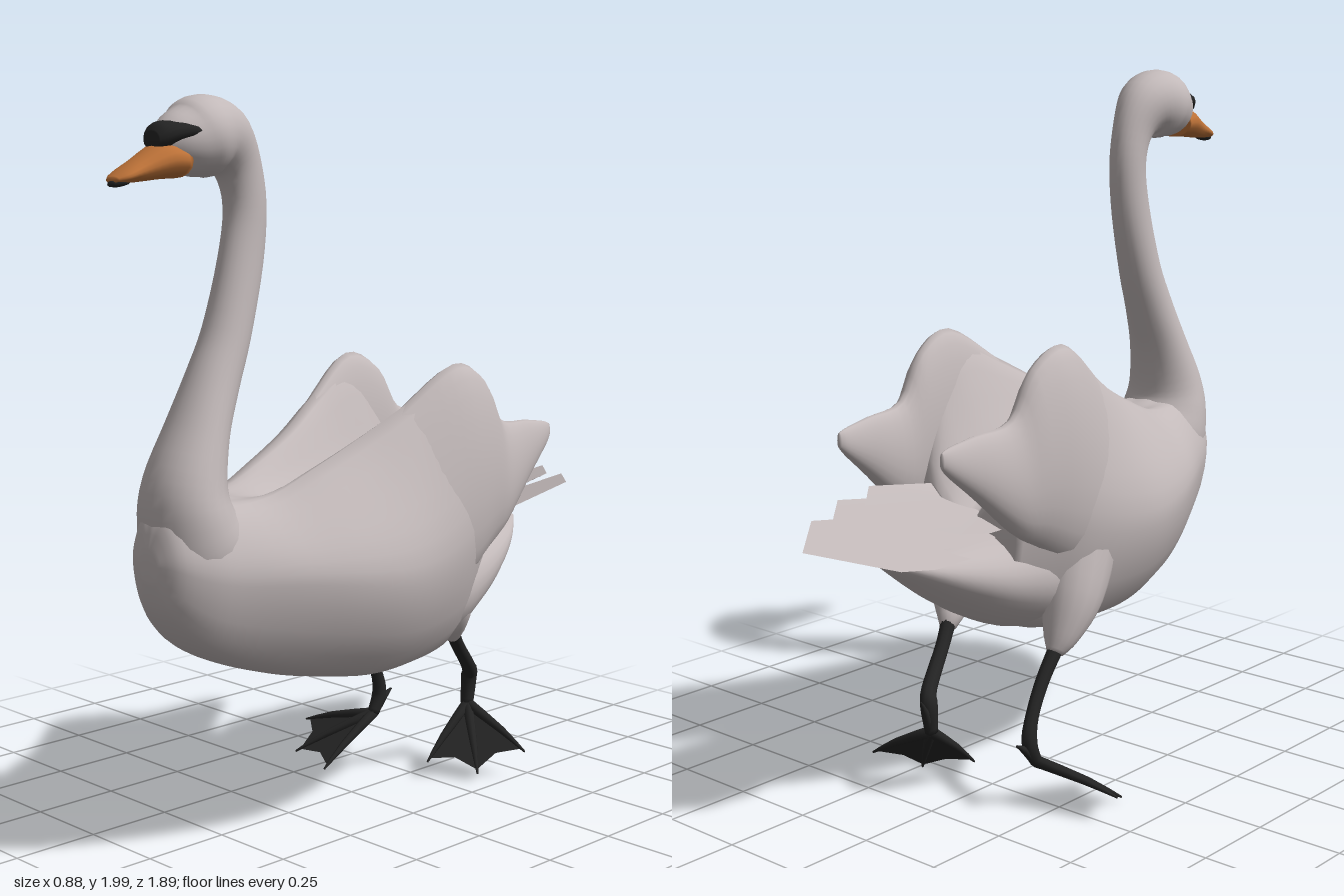
import * as THREE from 'three';

const white = new THREE.MeshStandardMaterial({ color: 0xc2b9b9, side: THREE.DoubleSide });
const black = new THREE.MeshStandardMaterial({ color: 0x242424, side: THREE.DoubleSide });
const orange = new THREE.MeshStandardMaterial({ color: 0xbd7238 });
white.name = 'featherWhite';
black.name = 'skinBlack';
orange.name = 'beakOrange';

// Catmull-Rom interpolation through rows of numbers
function smooth(rows, steps) {
  const out = [];
  for (let i = 0; i < rows.length - 1; i++) {
    const p = rows[Math.max(i - 1, 0)], a = rows[i], b = rows[i + 1], n = rows[Math.min(i + 2, rows.length - 1)];
    for (let k = 0; k < steps; k++) {
      const t = k / steps;
      out.push(a.map((v, j) => {
        const c1 = b[j] - p[j];
        const c2 = 2 * p[j] - 5 * v + 4 * b[j] - n[j];
        const c3 = 3 * (v - b[j]) + n[j] - p[j];
        return v + 0.5 * t * (c1 + t * (c2 + t * c3));
      }));
    }
  }
  out.push(rows[rows.length - 1]);
  return out;
}

// Skin closed rings of points, cap both ends and face the surface outward
function loft(rings) {
  const n = rings[0].length, pos = [], idx = [];
  rings.forEach((r) => r.forEach((v) => pos.push(v.x, v.y, v.z)));
  for (let i = 0; i < rings.length - 1; i++) {
    for (let j = 0; j < n; j++) {
      const k = (j + 1) % n, a = i * n + j, b = i * n + k, c = a + n, d = b + n;
      idx.push(a, b, d, a, d, c);
    }
  }
  [0, rings.length - 1].forEach((r) => {
    const mid = new THREE.Vector3();
    rings[r].forEach((v) => mid.addScaledVector(v, 1 / n));
    const m = pos.length / 3;
    pos.push(mid.x, mid.y, mid.z);
    for (let j = 0; j < n; j++) {
      const a = r * n + j, b = r * n + (j + 1) % n;
      idx.push(...(r ? [m, a, b] : [m, b, a]));
    }
  });
  const P = (i) => new THREE.Vector3().fromArray(pos, i * 3);
  let volume = 0;
  for (let i = 0; i < idx.length; i += 3) volume += P(idx[i]).dot(P(idx[i + 1]).cross(P(idx[i + 2])));
  if (volume < 0) idx.reverse();
  const g = new THREE.BufferGeometry();
  g.setAttribute('position', new THREE.Float32BufferAttribute(pos, 3));
  g.setIndex(idx);
  g.computeVertexNormals();
  return g;
}

// Elliptical sweep; rows are [x, y, z, half width, half height]
function sweep(rows, { sides = 24, steps = 4, flat = false } = {}) {
  const s = smooth(rows, steps);
  return loft(s.map((r, i) => {
    const a = s[Math.max(i - 1, 0)], b = s[Math.min(i + 1, s.length - 1)];
    const t = flat ? new THREE.Vector3(0, 0, 1)
      : new THREE.Vector3(b[0] - a[0], b[1] - a[1], b[2] - a[2]).normalize();
    const side = Math.abs(t.x) > 0.8 ? new THREE.Vector3(0, 0, 1) : new THREE.Vector3(1, 0, 0);
    side.addScaledVector(t, -side.dot(t)).normalize();
    const up = t.clone().cross(side);
    return Array.from({ length: sides }, (_, j) => {
      const q = j / sides * Math.PI * 2;
      return new THREE.Vector3(r[0], r[1], r[2])
        .addScaledVector(side, Math.cos(q) * r[3]).addScaledVector(up, Math.sin(q) * r[4]);
    });
  }));
}

// The bird is turned a little: its centre line slants across x
function slant(g) {
  const p = g.attributes.position;
  for (let i = 0; i < p.count; i++) p.setX(i, p.getX(i) + 0.075 + 0.075 * p.getZ(i));
  g.computeVertexNormals();
  return g;
}

// Breast and folded wing shoulders, with a valley along the back
// Rows are [z, bottom y, side x, side y, ridge x, ridge y, valley y]
function breast() {
  const rows = smooth([
    [0.848, 0.80, 0.035, 0.84, 0.012, 0.875, 0.88], [0.82, 0.71, 0.095, 0.83, 0.05, 0.95, 0.96],
    [0.75, 0.62, 0.145, 0.80, 0.07, 0.98, 0.99], [0.65, 0.555, 0.19, 0.78, 0.09, 0.97, 0.99],
    [0.5, 0.50, 0.262, 0.77, 0.10, 0.98, 0.965], [0.35, 0.465, 0.32, 0.75, 0.115, 1.035, 0.945],
    [0.2, 0.44, 0.348, 0.73, 0.14, 1.10, 0.93], [0.05, 0.432, 0.338, 0.73, 0.18, 1.18, 0.905],
    [-0.1, 0.44, 0.31, 0.76, 0.205, 1.25, 0.86], [-0.2, 0.47, 0.26, 0.78, 0.205, 1.16, 0.82],
    [-0.3, 0.51, 0.19, 0.75, 0.14, 0.88, 0.77],
  ], 4);
  return slant(loft(rows.map(([z, yb, ws, ys, wr, yr, yv]) => {
    const half = [[ws * 0.64, yb + 0.13 * (ys - yb)], [ws, ys], [ws * 0.75 + wr * 0.25, (ys + yr) / 2],
      [wr, yr], [wr * 0.42, yr * 0.4 + yv * 0.6]];
    const mirrored = half.map(([x, y]) => [-x, y]).reverse();
    const pts = [[0, yb], ...half, [0, yv], ...mirrored].map(([x, y]) => new THREE.Vector3(x, y, z));
    return new THREE.CatmullRomCurve3(pts, true).getPoints(48).slice(0, 48);
  })));
}

// Wing lobe; rows are [z, bottom x, bottom y, top x, top y, half thickness]
function wing(sign) {
  const rows = smooth([
    [0.3, 0.2, 0.75, 0.13, 0.99, 0.02],
    [0.2, 0.235, 0.72, 0.145, 1.07, 0.05],
    [0.05, 0.25, 0.67, 0.18, 1.18, 0.075],
    [-0.12, 0.235, 0.67, 0.212, 1.28, 0.085],
    [-0.25, 0.225, 0.74, 0.21, 1.23, 0.07],
    [-0.34, 0.215, 0.79, 0.205, 1.105, 0.055],
    [-0.48, 0.20, 0.91, 0.195, 1.085, 0.035],
    [-0.58, 0.19, 0.99, 0.19, 1.07, 0.018],
    [-0.61, 0.19, 1.02, 0.19, 1.06, 0.006],
  ], 4);
  return slant(loft(rows.map(([z, xb, yb, xt, yt, t]) => Array.from({ length: 24 }, (_, j) => {
    const q = j / 24 * Math.PI * 2, v = (1 + Math.sin(q)) / 2;
    const x = xb + (xt - xb) * v + Math.cos(q) * t * (1.2 - 0.35 * v);
    return new THREE.Vector3(sign * x, yb + (yt - yb) * v, z);
  }))));
}

// Flat pointed tail plate, rolled to one side and rising to its tip
function tailPlate(dz, dy) {
  const outline = [[0.13, -0.2], [0.18, -0.5], [0.17, -0.76], [0, -0.945], [-0.13, -0.73], [-0.13, -0.6], [-0.03, -0.2]];
  const g = new THREE.ShapeGeometry(new THREE.Shape(outline.map(([x, z]) => new THREE.Vector2(x, -z))));
  const p = g.attributes.position;
  for (let i = 0; i < p.count; i++) {
    const x = p.getX(i), z = -p.getY(i);
    p.setXYZ(i, x, 0.84 + dy + 0.28 * x - 0.17 * (z + 0.94), Math.min(z + dz, -0.19));
  }
  g.computeVertexNormals();
  return g;
}

// Webbed foot: thin toes joined by a scalloped skin
function foot(root, tips, spur) {
  const group = new THREE.Group();
  const R = new THREE.Vector3(...root), T = tips.map((t) => new THREE.Vector3(...t));
  [...T, new THREE.Vector3(...spur)].forEach((t, i) => {
    const m = R.clone().lerp(t, 0.6);
    group.add(part(i < T.length ? 'toe' : 'hindToe', sweep([
      [...root, 0.017, 0.017], [m.x, m.y + 0.006, m.z, 0.011, 0.011], [...t.toArray(), 0.003, 0.003],
    ], { sides: 8, steps: 2 }), black));
  });
  const pos = [];
  for (let i = 0; i < T.length - 1; i++) {
    const mid = T[i].clone().add(T[i + 1]).multiplyScalar(0.5).lerp(R, 0.16);
    const a = T[i].clone().lerp(R, 0.06), b = T[i + 1].clone().lerp(R, 0.06);
    [R, a, mid, R, mid, b].forEach((v) => pos.push(v.x, v.y, v.z));
  }
  const g = new THREE.BufferGeometry();
  g.setAttribute('position', new THREE.Float32BufferAttribute(pos, 3));
  g.computeVertexNormals();
  group.add(part('web', g, black));
  return group;
}

function part(name, geometry, material) {
  const m = new THREE.Mesh(geometry, material);
  m.name = name;
  return m;
}

export function createModel() {
  const model = new THREE.Group();
  model.name = 'swan';

  // Rump: rows of z, bottom, top, half width
  const rump = [
    [-0.66, 0.74, 0.755, 0.02], [-0.55, 0.665, 0.755, 0.10], [-0.42, 0.575, 0.765, 0.165],
    [-0.28, 0.495, 0.78, 0.215], [-0.15, 0.447, 0.81, 0.25], [0, 0.45, 0.83, 0.24], [0.1, 0.5, 0.8, 0.15],
  ].map(([z, b, t, w]) => [0, (b + t) / 2, z, w, (t - b) / 2]);
  model.add(part('breast', breast(), white));
  model.add(part('rump', slant(sweep(rump, { flat: true, sides: 32 })), white));

  // Neck and head
  model.add(part('neckAndHead', slant(sweep([
    [0, 0.72, 0.60, 0.10, 0.09], [0, 0.84, 0.675, 0.15, 0.145], [0, 0.94, 0.715, 0.145, 0.12],
    [0, 1.03, 0.716, 0.124, 0.104], [0, 1.16, 0.672, 0.097, 0.08], [0, 1.28, 0.618, 0.078, 0.072],
    [0, 1.40, 0.565, 0.067, 0.067], [0, 1.58, 0.512, 0.057, 0.066], [0, 1.72, 0.494, 0.055, 0.062],
    [0, 1.825, 0.52, 0.06, 0.07], [0, 1.885, 0.575, 0.085, 0.092], [0, 1.896, 0.645, 0.11, 0.103],
    [0, 1.885, 0.70, 0.099, 0.09], [0, 1.882, 0.75, 0.072, 0.068], [0, 1.88, 0.785, 0.04, 0.04],
  ])), white));

  // Face mask, beak and its dark tip
  model.add(part('faceMask', slant(sweep([
    [0, 1.908, 0.695, 0.085, 0.012], [0, 1.907, 0.73, 0.087, 0.026], [0, 1.902, 0.765, 0.071, 0.032],
    [0, 1.892, 0.797, 0.048, 0.034], [0, 1.885, 0.813, 0.03, 0.022],
  ], { flat: true, sides: 16 })), black));
  model.add(part('beak', slant(sweep([
    [0, 1.835, 0.735, 0.072, 0.042], [0, 1.836, 0.79, 0.068, 0.045], [0, 1.815, 0.86, 0.05, 0.03],
    [0, 1.798, 0.915, 0.044, 0.016], [0, 1.79, 0.942, 0.022, 0.007],
  ], { flat: true, sides: 16 })), orange));
  model.add(part('beakTip', slant(sweep([
    [0, 1.785, 0.895, 0.014, 0.006], [0, 1.785, 0.925, 0.028, 0.012], [0, 1.78, 0.946, 0.012, 0.006],
  ], { flat: true, sides: 12 })), black));

  // Wings and stacked tail feathers
  model.add(part('leftWing', wing(1), white), part('rightWing', wing(-1), white));
  [[0, 0], [0.095, 0.038], [0.21, 0.055]].forEach(([dz, dy]) => model.add(part('tailFeathers', tailPlate(dz, dy), white)));

  // Legs: feathered thigh, shank and webbed foot
  const legs = [
    {
      name: 'leftLeg',
      thigh: [[0.22, 0.68, -0.08, 0.12, 0.12], [0.195, 0.565, -0.18, 0.085, 0.085], [0.14, 0.455, -0.28, 0.024, 0.024]],
      shank: [[0.155, 0.5, -0.25, 0.024, 0.024], [0.125, 0.42, -0.315, 0.02, 0.02], [0.085, 0.32, -0.415, 0.022, 0.022],
        [0.065, 0.28, -0.437, 0.024, 0.024], [0.065, 0.2, -0.43, 0.019, 0.019]],
      foot: [[0.067, 0.2, -0.43], [[0.28, 0.09, -0.45], [0.2, 0.03, -0.33], [0.07, 0.055, -0.25]], [0.05, 0.305, -0.485]],
    },
    {
      name: 'rightLeg',
      thigh: [[-0.14, 0.72, -0.02, 0.10, 0.12], [-0.17, 0.57, -0.1, 0.088, 0.09], [-0.18, 0.47, -0.16, 0.055, 0.05], [-0.182, 0.425, -0.19, 0.025, 0.025]],
      shank: [[-0.18, 0.45, -0.17, 0.022, 0.022], [-0.182, 0.36, -0.24, 0.019, 0.02], [-0.19, 0.27, -0.295, 0.018, 0.02],
        [-0.198, 0.2, -0.315, 0.022, 0.022], [-0.2, 0.14, -0.29, 0.018, 0.018]],
      foot: [[-0.2, 0.14, -0.29], [[-0.44, 0.08, -0.23], [-0.36, 0.02, -0.11], [-0.2, 0.008, -0.08]], [-0.195, 0.205, -0.365]],
    },
  ];
  legs.forEach((l) => {
    const leg = foot(...l.foot);
    leg.name = l.name;
    leg.add(part('thigh', sweep(l.thigh, { sides: 16 }), white), part('shank', sweep(l.shank, { sides: 10 }), black));
    model.add(leg);
  });
  return model;
}
